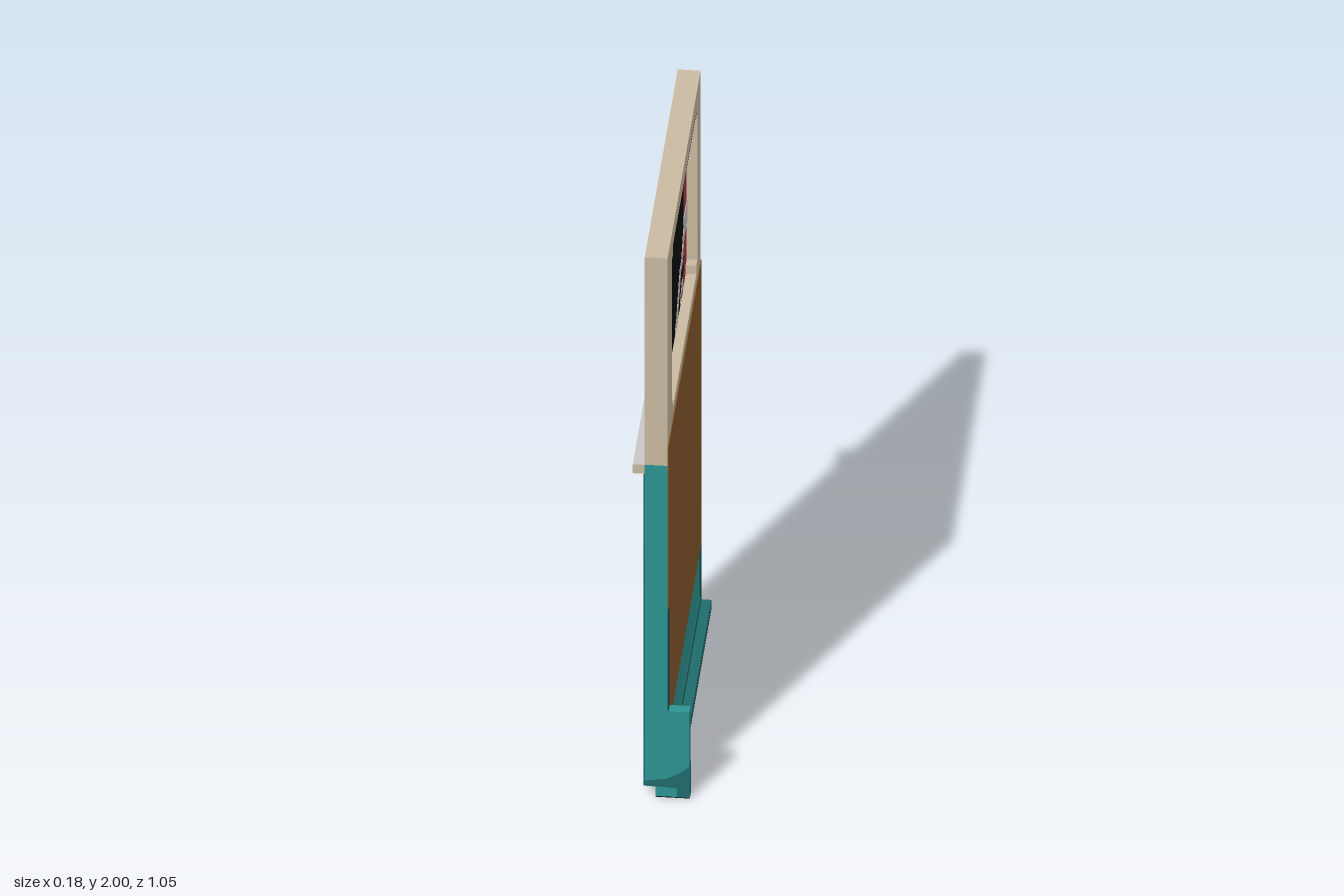
import * as THREE from 'three';

const mat = (name, color) => {
  const m = new THREE.MeshStandardMaterial({ color });
  m.name = name;
  return m;
};

export function createModel() {
  const beige = mat('beige', 0xc9bba1), red = mat('red', 0xab3442), black = mat('black', 0x0c0c0c);
  const brown = mat('brown', 0x86592b), teal = mat('teal', 0x2d9592), midTeal = mat('mid teal', 0x1f6c6c);
  const deepTeal = mat('deep teal', 0x0f4b4a), grey = mat('light grey', 0xc8c6c4);
  const door = new THREE.Group();
  door.name = 'door';

  const add = (name, geo, material) => {
    const mesh = new THREE.Mesh(geo, material);
    mesh.name = name;
    door.add(mesh);
    return mesh;
  };
  // Box from its limits on each axis
  const box = (name, m, x0, x1, y0, y1, z0, z1) => {
    const g = new THREE.BoxGeometry(x1 - x0, y1 - y0, z1 - z0);
    g.translate((x0 + x1) / 2, (y0 + y1) / 2, (z0 + z1) / 2);
    return add(name, g, m);
  };
  const toPoints = (list) => list.map(([a, b]) => new THREE.Vector2(a, b));
  // Outline in (u = -z, y), extruded from x0 to x1
  const slab = (name, m, outline, x0, x1, hole) => {
    const shape = new THREE.Shape(toPoints(outline));
    if (hole) shape.holes.push(new THREE.Path(toPoints(hole)));
    const g = new THREE.ExtrudeGeometry(shape, { depth: x1 - x0, bevelEnabled: false });
    g.rotateY(Math.PI / 2).translate(x0, 0, 0);
    return add(name, g, m);
  };
  // Rectangle whose corners are notched by one square step
  const notched = (u0, u1, y0, y1, s) => [
    [u0 + s, y0], [u1 - s, y0], [u1 - s, y0 + s], [u1, y0 + s], [u1, y1 - s], [u1 - s, y1 - s],
    [u1 - s, y1], [u0 + s, y1], [u0 + s, y1 - s], [u0, y1 - s], [u0, y0 + s], [u0 + s, y0 + s],
  ];
  const chamfered = (u0, u1, y0, y1, c) => [
    [u0 + c, y0], [u1 - c, y0], [u1, y0 + c], [u1, y1 - c], [u1 - c, y1], [u0 + c, y1], [u0, y1 - c], [u0, y0 + c],
  ];

  const X0 = -0.053, X1 = 0.018, Z = 0.525, e = 0.003;

  // Upper and lower door leaf
  const hole = notched(-0.39, 0.42, 1.335, 1.935, 0.032);
  slab('upperPanel', beige, [[-Z, 1.23], [Z, 1.23], [Z, 2], [-Z, 2]], X0, X1, hole);
  box('lowerPanel', teal, X0, X1, 0.04, 1.23, -Z, Z);

  // Window: red surround, dark glass and pale streaks showing on both sides
  const gx = -0.017;
  slab('windowSurround', red, hole, gx - 0.002, gx + 0.002);
  slab('windowGlass', black, [
    [-0.245, 1.335], [0.28, 1.335], [0.28, 1.39], [0.315, 1.41], [0.315, 1.73], [0.28, 1.73], [0.28, 1.83],
    [-0.245, 1.83], [-0.245, 1.73], [-0.28, 1.72], [-0.28, 1.6], [-0.32, 1.59], [-0.32, 1.51],
    [-0.28, 1.51], [-0.28, 1.38], [-0.245, 1.37],
  ], gx - 0.003, gx + 0.003);
  slab('windowStripe', grey, [[-0.39, 1.51], [-0.32, 1.51], [-0.32, 1.59], [-0.39, 1.59]], gx - 0.004, gx + 0.004);
  slab('windowStreak', grey, [
    [0.035, 1.335], [0.13, 1.335], [0.145, 1.37], [0.225, 1.45], [0.275, 1.45], [0.33, 1.51], [0.42, 1.51],
    [0.42, 1.59], [0.325, 1.59], [0.235, 1.485], [0.185, 1.485], [0.075, 1.37], [0.035, 1.36],
  ], gx - 0.004, gx + 0.004);
  slab('smallStreak', grey, [
    [0.205, 1.345], [0.24, 1.345], [0.245, 1.36], [0.28, 1.36], [0.28, 1.395], [0.25, 1.395], [0.205, 1.36],
  ], gx - 0.004, gx + 0.004);
  box('recessTopLining', black, X0, X1, 1.93, 1.936, -0.387, 0.357);

  // Dark seal around the window on the inner face
  slab('windowSeal', black, chamfered(-0.425, 0.452, 1.30, 1.97, 0.06), X0 - e, X0 + 0.001,
    notched(-0.39, 0.42, 1.335, 1.935, 0.032));

  // Wooden facing, cut short beside the foot
  slab('woodFacing', brown, [
    [-0.495, 0.25], [Z, 0.25], [Z, 1.3], [-Z, 1.3], [-Z, 0.7], [-0.495, 0.7],
  ], X1 - 0.001, X1 + e);

  // Painted edge strips
  box('outerEdgeStrip', deepTeal, X1, X1 + e, 0.32, 0.7, 0.495, Z);
  box('outerEdgeStrip', deepTeal, X1, X1 + e, 0.04, 0.25, -Z, -0.492);
  for (const s of [-1, 1]) {
    const strip = box('innerEdgeStrip', deepTeal, X0 - e, X0, 0.04, 1.2, -0.015, 0.015);
    strip.position.z = s * 0.51;
  }
  box('lowerBand', midTeal, X1, X1 + e, 0.035, 0.07, -0.492, 0.49);
  box('innerLowerBand', midTeal, X0 - e, X0, 0.04, 0.055, -0.495, 0.495);

  // Sill along the bottom
  box('sill', teal, -0.02, 0.048, 0.003, 0.035, -Z, Z);
  box('sillFace', midTeal, 0.048, 0.051, 0.003, 0.037, -Z, 0.49);
  box('sillTop', midTeal, X1, 0.05, 0.035, 0.038, -Z, 0.49);
  box('sillUnderside', black, -0.02, 0.051, 0, 0.003, -Z, Z);

  // Foot at the front end
  box('foot', teal, X1, 0.085, 0.003, 0.32, 0.49, Z);
  box('footUnderside', black, X1, 0.085, 0, 0.003, 0.49, Z);
  box('footLowerFace', midTeal, 0.085, 0.087, 0, 0.12, 0.49, Z);
  box('footWoodSide', brown, X1, 0.085, 0.25, 0.319, 0.488, 0.49);

  // Curved darker patch across the front edge
  const curve = new THREE.Shape(toPoints([[X0, 0.04], [0.048, 0.036], [0.048, 0.003], [0.086, 0.003], [0.086, 0.118],
    [0.055, 0.092], [0.015, 0.07], [X0, 0.058]]));
  const patch = new THREE.ExtrudeGeometry(curve, { depth: 0.002, bevelEnabled: false });
  patch.translate(0, 0, Z - 0.0005);
  add('frontLowerPatch', patch, midTeal);

  // Ledge and handle on the inner face
  box('ledge', grey, -0.09, X0, 1.197, 1.23, -Z, Z);
  box('ledgeFrontCap', beige, -0.09, X0, 1.197, 1.23, Z, Z + 0.001);
  box('handle', grey, -0.09, X0, 1.127, 1.16, -0.46, -0.31);

  return door;
}
